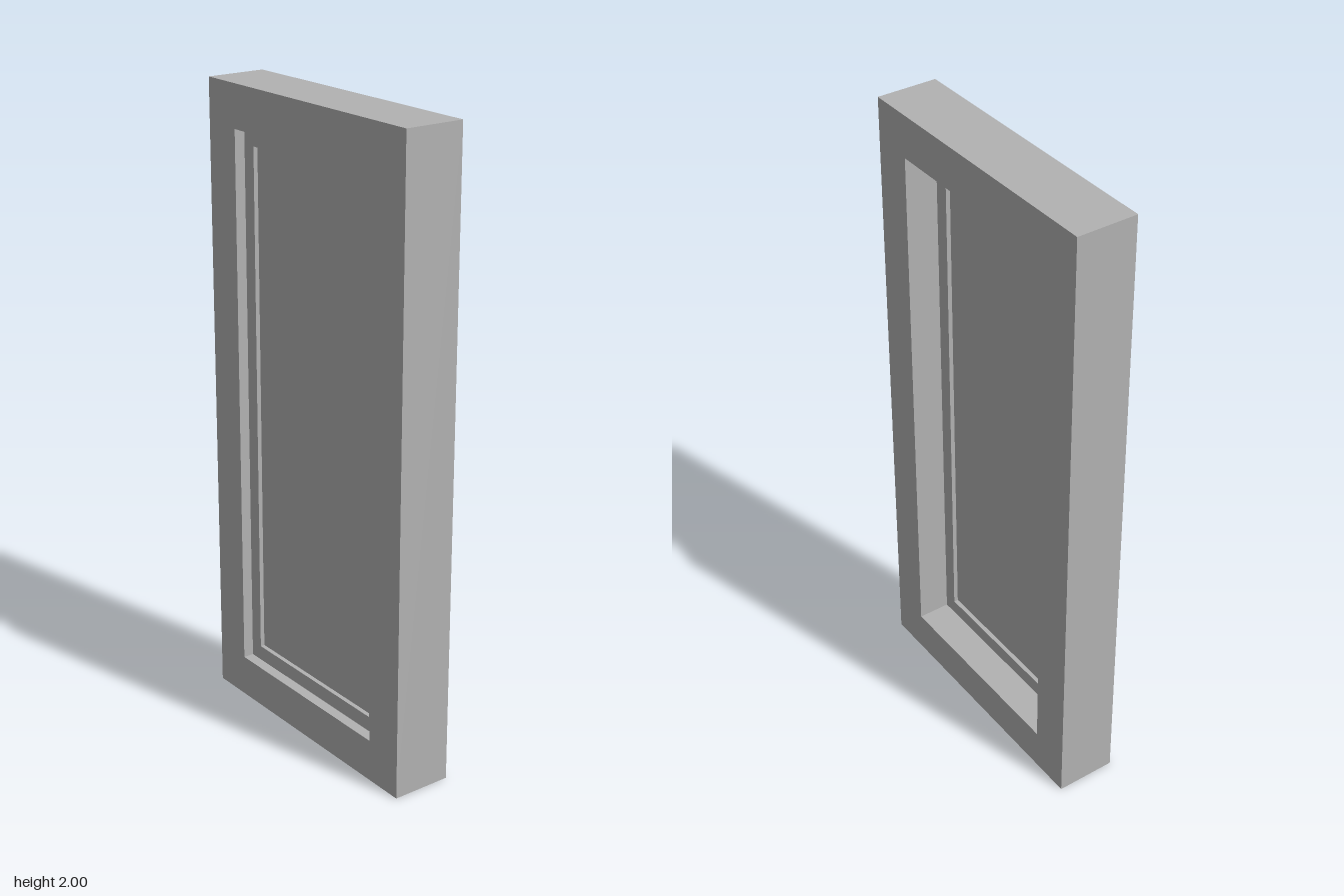
import * as THREE from 'three';

// Rectangle outline centred on the window, given half width and half height
function rectangle(target, halfW, halfH) {
  target.moveTo(-halfW, 1 - halfH);
  target.lineTo(halfW, 1 - halfH);
  target.lineTo(halfW, 1 + halfH);
  target.lineTo(-halfW, 1 + halfH);
  target.closePath();
  return target;
}

// Rectangular ring running from zBack to zFront
function ring(name, outer, inner, zBack, zFront, material) {
  const shape = rectangle(new THREE.Shape(), ...outer);
  shape.holes.push(rectangle(new THREE.Path(), ...inner));
  const geometry = new THREE.ExtrudeGeometry(shape, { depth: zFront - zBack, bevelEnabled: false });
  geometry.translate(0, 0, zBack);
  const mesh = new THREE.Mesh(geometry, material);
  mesh.name = name;
  return mesh;
}

export function createModel() {
  const grey = new THREE.MeshStandardMaterial({ color: 0xb2b2b2 });
  grey.name = 'plain grey';

  const outer = [0.461, 1];
  const opening = [0.33, 0.866];
  const paneSize = [0.284, 0.818];

  const model = new THREE.Group();
  model.name = 'window';

  // Deep outer frame, with the thinner sash set near its front
  model.add(ring('outerFrame', outer, opening, -0.096, 0.096, grey));
  model.add(ring('sash', opening, paneSize, 0.008, 0.062, grey));

  // Pane recessed slightly on both sides of the sash
  const pane = new THREE.Mesh(new THREE.BoxGeometry(paneSize[0] * 2, paneSize[1] * 2, 0.026), grey);
  pane.name = 'pane';
  pane.position.set(0, 1, 0.035);
  model.add(pane);

  return model;
}
